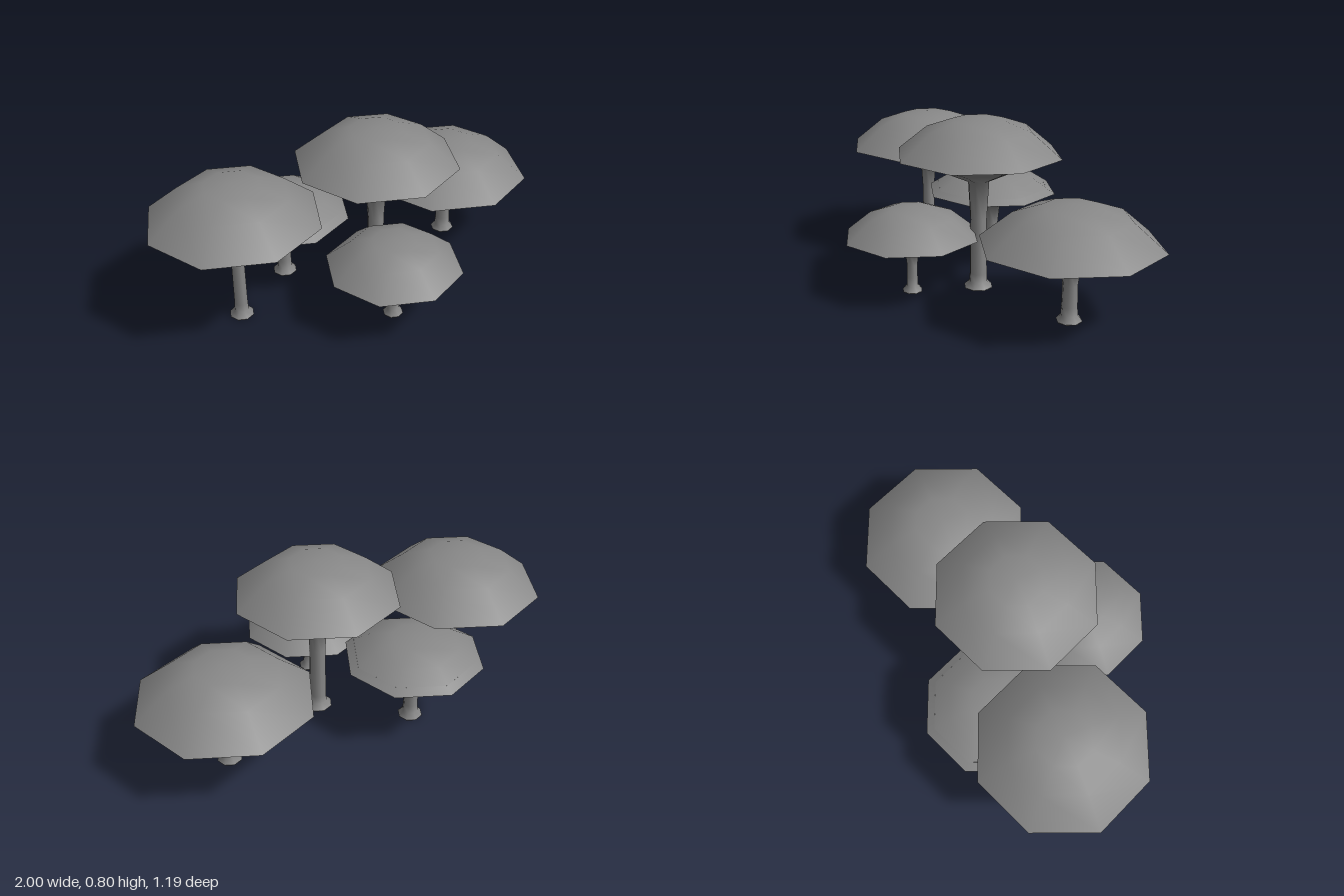
import * as THREE from 'three';

const material = new THREE.MeshStandardMaterial({ color: 0x888888, side: THREE.DoubleSide });
const SIDES = 8;

// Eight-sided turned part; the outline runs from bottom to top.
// Points on the axis get an upright normal so the poles shade smoothly.
function turned(name, points) {
  const outline = points.map(([r, y]) => new THREE.Vector2(r, y));
  const geometry = new THREE.LatheGeometry(outline, SIDES);
  const normal = geometry.attributes.normal;
  for (let i = 0; i < normal.count; i++) {
    const row = i % points.length;
    if (points[row][0] === 0) normal.setXYZ(i, 0, row === 0 ? -1 : 1, 0);
  }
  const mesh = new THREE.Mesh(geometry, material);
  mesh.name = name;
  return mesh;
}

// radius, rim, top: cap radius, rim height and top height; drop: depth of the
// gills below the rim; shaft, neck, foot: radii along the stem.
function mushroom({ name, x, z, radius, rim, top, drop, shaft, neck, foot }) {
  const group = new THREE.Group();
  group.name = name;
  group.position.set(x, 0, z);
  const rise = top - rim;
  const neckY = rim - drop;

  // Domed cap
  group.add(turned('cap', [
    [radius, rim],
    [radius * 0.64, rim + rise * 0.67],
    [radius * 0.32, rim + rise * 0.93],
    [0, top],
  ]));

  // Rim turned inward and up, leaving a shallow recess
  group.add(turned('capLip', [
    [radius * 0.88, rim + 0.025],
    [radius, rim],
  ]));

  // Stem with a flared foot, flowing into the gills under the cap
  group.add(turned('stemAndGills', [
    [0, 0],
    [foot * 0.95, 0],
    [foot, 0.006],
    [shaft * 1.12, 0.03],
    [shaft * 1.05, 0.07],
    [shaft, neckY * 0.65],
    [neck, neckY],
    [radius * 0.5, rim - drop * 0.48],
    [radius * 0.88, rim + 0.025],
  ]));
  return group;
}

export function createModel() {
  const model = new THREE.Group();
  model.name = 'mushroomCluster';
  const cluster = [
    { name: 'rightMushroom', x: -0.607, z: -0.08, radius: 0.393, rim: 0.527, top: 0.7,
      drop: 0.09, shaft: 0.031, neck: 0.04, foot: 0.057 },
    { name: 'tallMushroom', x: 0.077, z: -0.009, radius: 0.382, rim: 0.637, top: 0.804,
      drop: 0.125, shaft: 0.039, neck: 0.05, foot: 0.068 },
    { name: 'leftMushroom', x: 0.597, z: -0.17, radius: 0.402, rim: 0.345, top: 0.524,
      drop: 0.088, shaft: 0.034, neck: 0.045, foot: 0.058 },
    { name: 'backMushroom', x: -0.278, z: -0.273, radius: 0.322, rim: 0.345, top: 0.456,
      drop: 0.085, shaft: 0.033, neck: 0.043, foot: 0.058 },
    { name: 'frontMushroom', x: -0.016, z: 0.284, radius: 0.312, rim: 0.271, top: 0.409,
      drop: 0.073, shaft: 0.025, neck: 0.034, foot: 0.047 },
  ];
  for (const spec of cluster) model.add(mushroom(spec));
  return model;
}
